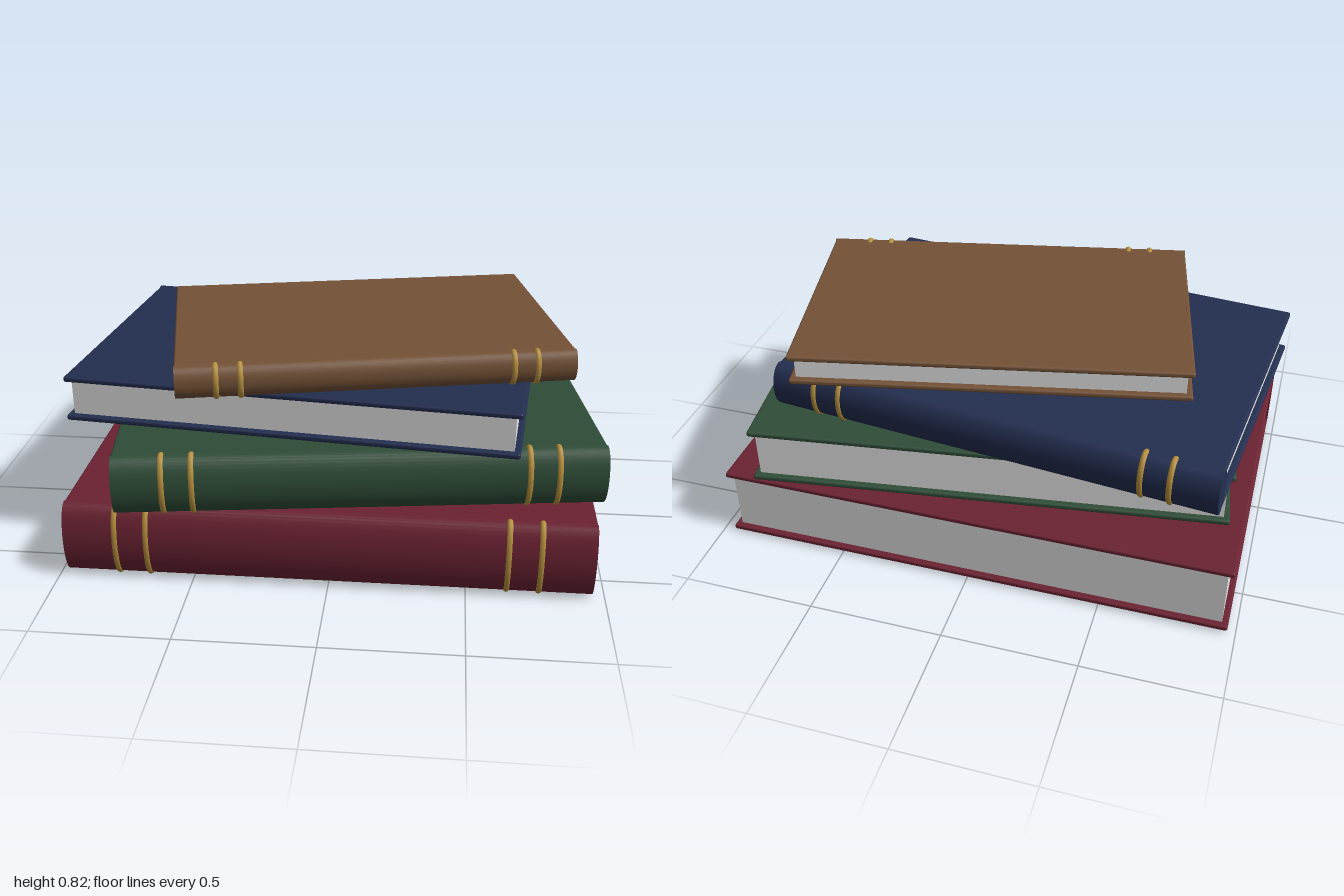
import * as THREE from 'three';
import { RoundedBoxGeometry } from 'three/addons/geometries/RoundedBoxGeometry.js';

const COVER = 0.021;  // board thickness
const INSET = 0.023;  // how far the boards overhang the pages
const BAND = 0.011;   // radius of the raised spine bands

function material(name, color) {
  const m = new THREE.MeshStandardMaterial({ color });
  m.name = name;
  return m;
}

function add(group, name, geometry, mat, x = 0, y = 0, z = 0) {
  const mesh = new THREE.Mesh(geometry, mat);
  mesh.name = name;
  mesh.position.set(x, y, z);
  group.add(mesh);
}

// A closed book lying flat, centred on its own origin, spine towards local +z
function makeBook({ name, length, depth, bottom, top, spine, x, z, turn, cover }, pages, gold) {
  const book = new THREE.Group();
  book.name = name;
  const half = (top - bottom) / 2;
  const back = -depth / 2;
  const spineZ = depth / 2 - spine;

  // Boards run from the fore edge to the middle of the spine
  const boardDepth = spineZ - back;
  for (const side of [-1, 1]) {
    add(book, side > 0 ? 'topCover' : 'bottomCover',
      new RoundedBoxGeometry(length, COVER, boardDepth, 3, 0.008), cover,
      0, side * (half - COVER / 2), (back + spineZ) / 2);
  }

  // Page block
  add(book, 'pages',
    new THREE.BoxGeometry(length - 2 * INSET, 2 * (half - COVER) + 0.002, boardDepth - INSET), pages,
    0, 0, (back + INSET + spineZ) / 2);

  // Rounded spine, an elliptical rod
  add(book, 'spine',
    new THREE.CylinderGeometry(1, 1, length, 40).rotateZ(Math.PI / 2).scale(1, half, spine), cover,
    0, 0, spineZ);

  // Two raised bands near each end of the spine
  for (const side of [-1, 1]) {
    for (const offset of [0.1, 0.16]) {
      const ring = new THREE.TorusGeometry(half - 0.002, BAND, 8, 40).rotateY(Math.PI / 2);
      add(book, 'spineBand', ring.scale(1, 1, spine / half), gold,
        side * length * (0.5 - offset), 0, spineZ);
    }
  }

  book.position.set(x, (bottom + top) / 2, z);
  book.rotation.y = turn;
  return book;
}

export function createModel() {
  const pages = material('pagePaper', 0xe6e6e6);
  const gold = material('bandGold', 0xb8923f);
  const red = material('burgundyCloth', 0x6b2232);
  const green = material('greenCloth', 0x2f4d38);
  const navy = material('navyCloth', 0x232e50);
  const brown = material('brownLeather', 0x745237);

  const stack = new THREE.Group();
  stack.name = 'bookStack';
  const books = [
    { name: 'burgundyBook', length: 1.925, depth: 1.365, bottom: 0.008, top: 0.288, spine: 0.056,
      x: -0.008, z: -0.028, turn: 0, cover: red },
    { name: 'greenBook', length: 1.766, depth: 1.2, bottom: 0.29, top: 0.513, spine: 0.056,
      x: 0.038, z: 0, turn: 0.137, cover: green },
    { name: 'navyBook', length: 1.679, depth: 1.121, bottom: 0.515, top: 0.69, spine: 0.052,
      x: -0.107, z: -0.08, turn: Math.PI - 0.105, cover: navy },
    { name: 'brownBook', length: 1.44, depth: 0.92, bottom: 0.692, top: 0.812, spine: 0.036,
      x: 0.072, z: -0.022, turn: 0.209, cover: brown },
  ];
  for (const spec of books) stack.add(makeBook(spec, pages, gold));
  return stack;
}
